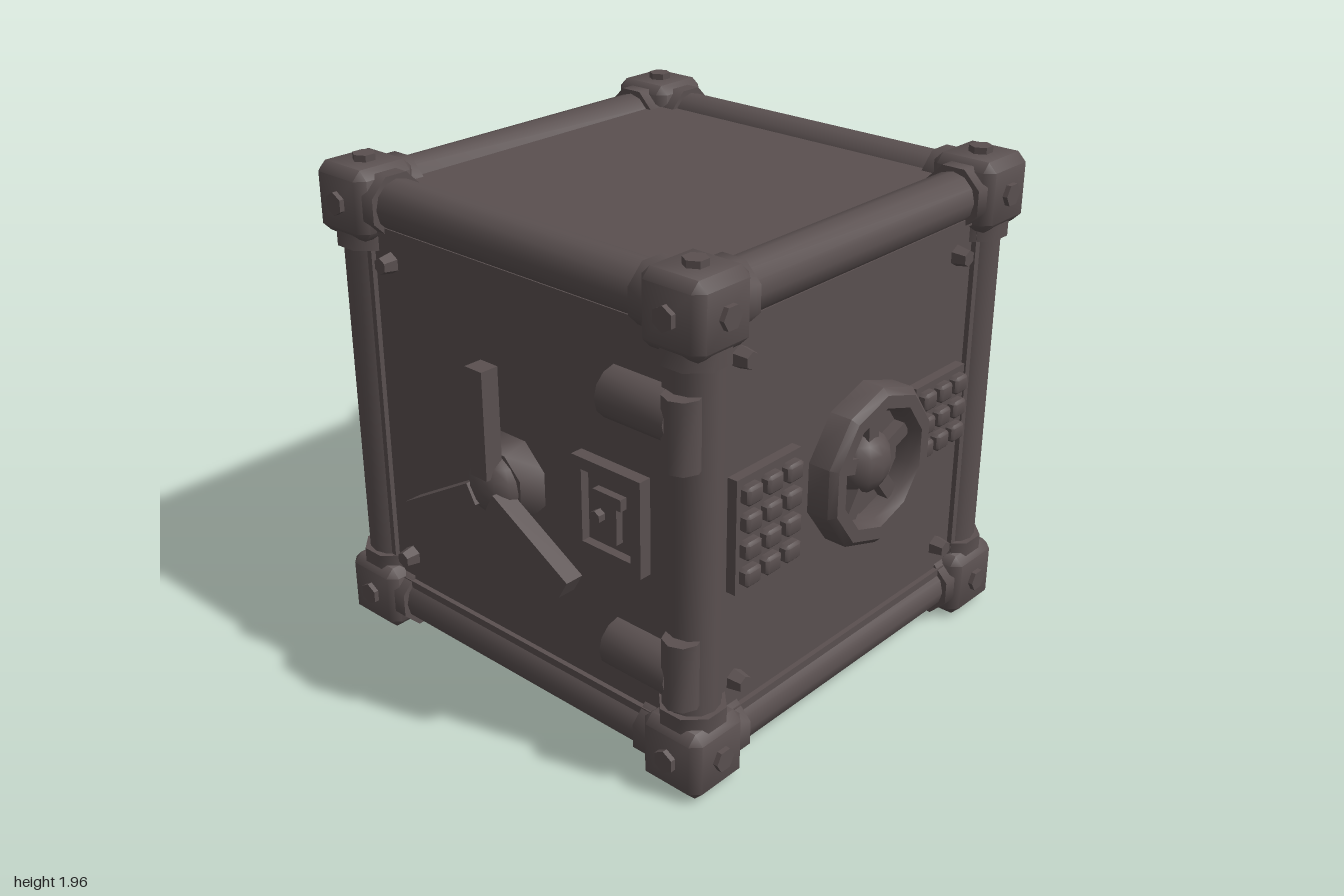
import * as THREE from 'three';
import { ConvexGeometry } from 'three/addons/geometries/ConvexGeometry.js';
import { toCreasedNormals } from 'three/addons/utils/BufferGeometryUtils.js';

const iron = new THREE.MeshStandardMaterial({ color: 0x5a5050 });
iron.name = 'dark iron';

function add(parent, name, geo, x = 0, y = 0, z = 0, rx = 0, ry = 0, rz = 0) {
  const m = new THREE.Mesh(toCreasedNormals(geo, 0.8), iron);
  m.name = name;
  m.position.set(x, y, z);
  m.rotation.set(rx, ry, rz);
  parent.add(m);
}
function group(parent, name, x = 0, y = 0, z = 0, ry = 0) {
  const g = new THREE.Group();
  g.name = name;
  g.position.set(x, y, z);
  g.rotation.y = ry;
  parent.add(g);
  return g;
}
const box = (w, h, d) => new THREE.BoxGeometry(w, h, d);
const cyl = (r1, r2, h, n = 8) => new THREE.CylinderGeometry(r1, r2, h, n);

// Rectangular ring facing +z, standing on z = 0
function frame(w, h, rim, depth) {
  const rect = (S, a, b) => new S().moveTo(-a, -b).lineTo(a, -b).lineTo(a, b).lineTo(-a, b).lineTo(-a, -b);
  const s = rect(THREE.Shape, w / 2, h / 2);
  s.holes.push(rect(THREE.Path, w / 2 - rim, h / 2 - rim));
  return new THREE.ExtrudeGeometry(s, { depth, bevelEnabled: false });
}

// Box with all edges and corners cut
function chamferBox(a, b) {
  const pts = [];
  for (const i of [-1, 1]) for (const j of [-1, 1]) for (const k of [-1, 1]) {
    pts.push(new THREE.Vector3(i * a, j * b, k * b), new THREE.Vector3(i * b, j * a, k * b),
      new THREE.Vector3(i * b, j * b, k * a));
  }
  return new ConvexGeometry(pts);
}

// Three-armed handle, built outward along +z
function handle(parent, x, y, z) {
  const g = group(parent, 'handle', x, y, z);
  add(g, 'handleBase', cyl(0.14, 0.18, 0.11), 0, 0, 0.06, Math.PI / 2, Math.PI / 8);
  add(g, 'handleHub', new THREE.SphereGeometry(0.125, 12, 8).scale(1, 1, 0.75), 0, 0, 0.1);
  for (let i = 0; i < 3; i++) {
    const a = Math.PI / 2 + i * Math.PI * 2 / 3;
    add(g, 'handleArm', box(0.42, 0.085, 0.075), Math.cos(a) * 0.265, Math.sin(a) * 0.265, 0.155, 0, 0, a);
  }
}

// Framed lock plate with key slot pieces
function lockPlate(parent, x, y) {
  const g = group(parent, 'lockPlate', x, y, 0);
  add(g, 'lockBack', box(0.27, 0.32, 0.03), 0, 0, 0);
  add(g, 'lockRim', frame(0.32, 0.37, 0.045, 0.05));
  add(g, 'lockBolt', box(0.05, 0.18, 0.04), 0.02, -0.01, 0.025);
  add(g, 'lockBar', box(0.13, 0.045, 0.04), 0, 0.06, 0.025);
  add(g, 'lockPin', cyl(0.025, 0.025, 0.04, 6), -0.06, -0.03, 0.025, Math.PI / 2);
}

function rivets(parent, xs, ys) {
  for (const x of xs) for (const y of ys)
    add(parent, 'rivet', cyl(0.032, 0.045, 0.07, 6), x, y, 0.02, Math.PI / 2);
}

// Ten-sided wheel with spokes and round hub
function wheel(parent, x, y) {
  const g = group(parent, 'wheel', x, y, 0);
  const rim = [[0.22, -0.03], [0.315, -0.03], [0.315, 0.09], [0.29, 0.115], [0.24, 0.115], [0.22, 0.08], [0.22, -0.03]];
  add(g, 'wheelRim', new THREE.LatheGeometry(rim.map(([r, h]) => new THREE.Vector2(r, h)), 10), 0, 0, 0, Math.PI / 2);
  add(g, 'wheelSeat', cyl(0.23, 0.23, 0.04, 10), 0, 0, 0, Math.PI / 2);
  for (let i = 0; i < 5; i++) {
    const a = 0.35 + i * Math.PI * 2 / 5;
    add(g, 'wheelSpoke', box(0.16, 0.06, 0.05), Math.cos(a) * 0.17, Math.sin(a) * 0.17, 0.04, 0, 0, a);
  }
  add(g, 'wheelHub', new THREE.SphereGeometry(0.125, 12, 8).scale(1, 1, 0.75), 0, 0, 0.02);
}

// Plate with a grid of lumpy buttons
function keypad(parent, x, y, w, h, cols, rows) {
  const g = group(parent, 'keypad', x, y, 0);
  add(g, 'keypadPlate', box(w, h, 0.06), 0, 0, 0.01);
  for (let c = 0; c < cols; c++) for (let r = 0; r < rows; r++) {
    const dx = ((c + 0.5) / cols - 0.5) * w * 0.95, dy = ((r + 0.5) / rows - 0.5) * h * 0.95;
    add(g, 'keypadButton', chamferBox(0.035, 0.024).scale(w / cols / 0.095, 1, 0.9), dx, dy, 0.045);
  }
}

export function createModel() {
  const model = new THREE.Group();
  model.name = 'safe';

  const X = [-0.79, 0.83], Y = [0.14, 1.8], Z = [-0.83, 0.77];
  const mid = (p) => (p[0] + p[1]) / 2, len = (p) => p[1] - p[0];

  // Body block, its faces slightly sunk between the edge beams
  const sink = 0.05;
  add(model, 'body', box(len(X) + 2 * sink, len(Y) + 2 * sink, len(Z) + 2 * sink), mid(X), mid(Y), mid(Z));

  // Rounded beams along all twelve edges
  for (const i of [0, 1]) for (const j of [0, 1]) {
    add(model, 'beamX', cyl(0.1, 0.1, len(X), 12), mid(X), Y[i], Z[j], 0, 0, Math.PI / 2);
    add(model, 'beamY', cyl(0.1, 0.1, len(Y), 12), X[i], mid(Y), Z[j]);
    add(model, 'beamZ', cyl(0.1, 0.1, len(Z), 12), X[i], Y[j], mid(Z), Math.PI / 2);
  }

  // Corner castings: chamfered core, sleeves over the beams, bolts outside
  for (const i of [0, 1]) for (const j of [0, 1]) for (const k of [0, 1]) {
    const g = group(model, 'corner', X[i], Y[j], Z[k]);
    const sx = i ? 1 : -1, sy = j ? 1 : -1, sz = k ? 1 : -1;
    add(g, 'cornerCore', chamferBox(0.135, 0.1));
    add(g, 'sleeveX', cyl(0.125, 0.125, 0.18), -sx * 0.09, 0, 0, Math.PI / 8, 0, Math.PI / 2);
    add(g, 'sleeveY', cyl(0.125, 0.125, 0.18), 0, -sy * 0.09, 0, 0, Math.PI / 8, 0);
    add(g, 'sleeveZ', cyl(0.125, 0.125, 0.18), 0, 0, -sz * 0.09, Math.PI / 2, Math.PI / 8, 0);
    add(g, 'boltX', cyl(0.045, 0.045, 0.03, 6), sx * 0.14, 0, 0, 0, 0, Math.PI / 2);
    add(g, 'boltY', cyl(0.045, 0.045, 0.03, 6), 0, j ? 0.145 : -0.125, 0);
    add(g, 'boltZ', cyl(0.045, 0.045, 0.03, 6), 0, 0, sz * 0.14, Math.PI / 2);
  }

  // Front door: handle, hinges and lock plate
  const front = group(model, 'frontDoor', 0, 0, Z[1] + sink);
  add(front, 'doorFrame', frame(1.51, 1.52, 0.03, 0.02), 0.025, 0.968, 0);
  handle(front, 0.01, 0.93, -0.025);
  lockPlate(front, 0.52, 0.975);
  rivets(front, [-0.61], [0.35, 1.59]);
  for (const [y, barrelY] of [[0.455, 0.495], [1.43, 1.4]]) {
    add(front, 'hingeLeaf', cyl(0.095, 0.095, 0.3, 12), 0.67, y, 0, 0, 0, Math.PI / 2);
    add(front, 'hingeBarrel', cyl(0.07, 0.07, 0.26, 8), 0.85, barrelY, 0.03);
  }

  // Back door: handle between two lock plates
  const back = group(model, 'backDoor', 0, 0, Z[0] - sink, Math.PI);
  add(back, 'doorFrame', frame(1.51, 1.52, 0.03, 0.02), -0.025, 0.968, 0);
  handle(back, 0.025, 0.93, -0.07);
  lockPlate(back, 0.48, 0.975);
  lockPlate(back, -0.53, 0.975);
  rivets(back, [-0.63, 0.63], [0.35, 1.45, 1.59]);

  // Left side: wheel between two keypads
  const left = group(model, 'leftSide', X[1] + sink, 0, 0, Math.PI / 2);
  add(left, 'sideFrame', frame(1.49, 1.52, 0.03, 0.02), 0.02, 0.968, 0);
  wheel(left, 0.08, 0.955);
  keypad(left, -0.49, 0.95, 0.34, 0.44, 3, 4);
  keypad(left, 0.53, 0.985, 0.32, 0.32, 3, 3);
  rivets(left, [-0.61, 0.64], [0.35, 1.59]);

  // Right side: wheel, one keypad and two studs
  const right = group(model, 'rightSide', X[0] - sink, 0, 0, -Math.PI / 2);
  add(right, 'sideFrame', frame(1.49, 1.52, 0.03, 0.02), -0.02, 0.968, 0);
  wheel(right, -0.1, 0.955);
  keypad(right, 0.45, 0.985, 0.34, 0.4, 3, 4);
  rivets(right, [-0.61, 0.61], [0.35, 1.59]);
  rivets(right, [-0.55], [0.87, 0.99]);

  return model;
}
